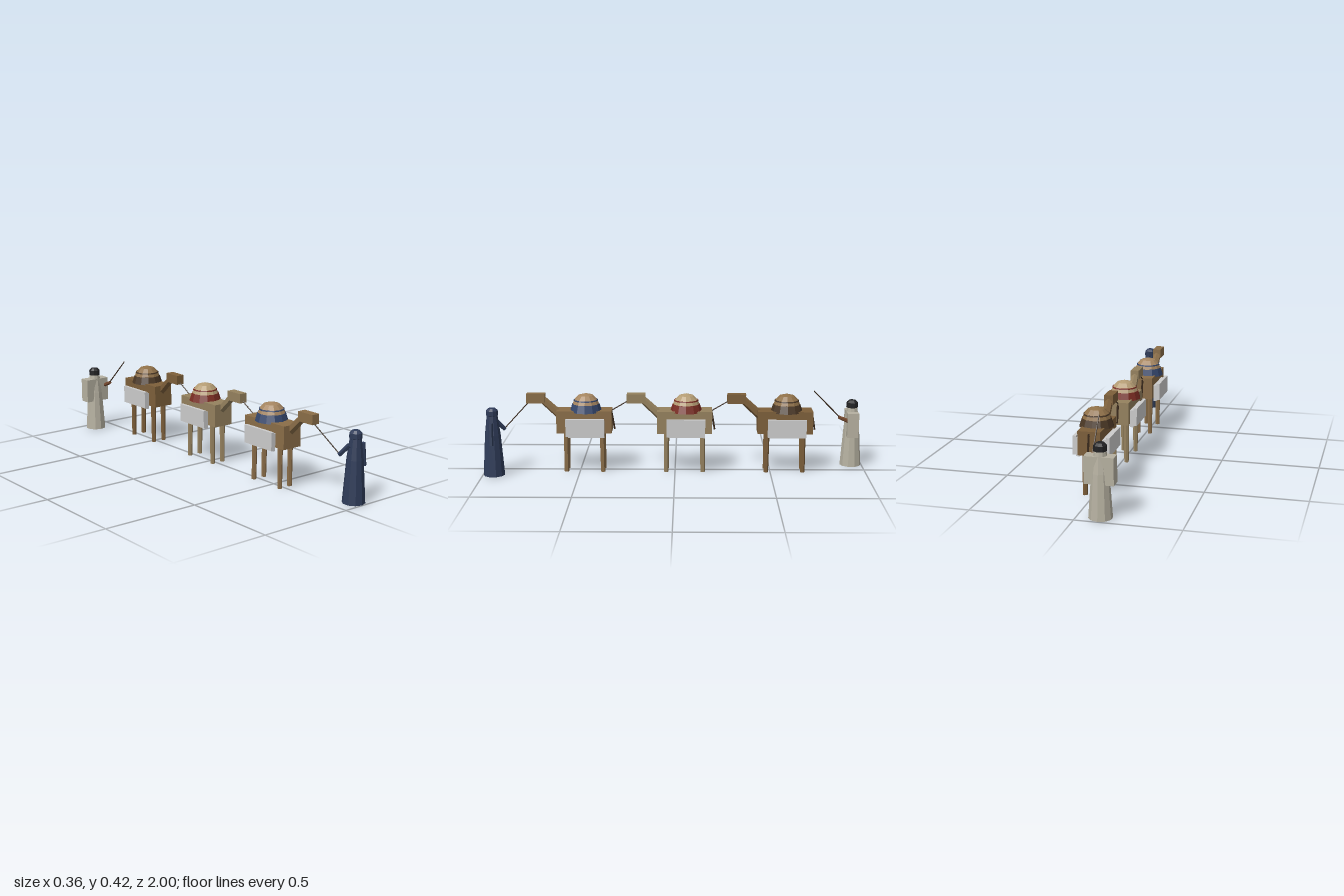
import * as THREE from 'three';

const mat = (color) => new THREE.MeshStandardMaterial({ color, flatShading: true });
const V = (x, y, z) => new THREE.Vector3(x, y, z);

function add(parent, name, geometry, material, x = 0, y = 0, z = 0) {
  const mesh = new THREE.Mesh(geometry, material);
  mesh.name = name;
  mesh.position.set(x, y, z);
  parent.add(mesh);
  return mesh;
}

const box = (parent, name, size, pos, material) =>
  add(parent, name, new THREE.BoxGeometry(...size), material, ...pos);

// profile is a list of [radius, height], bottom to top
const lathe = (parent, name, profile, sides, material, x = 0, y = 0, z = 0) =>
  add(parent, name, new THREE.LatheGeometry(profile.map((p) => new THREE.Vector2(...p)), sides), material, x, y, z);

// tapered cylinder between two points
function rod(parent, name, from, to, r0, r1, sides, material) {
  const dir = to.clone().sub(from);
  const mesh = add(parent, name, new THREE.CylinderGeometry(r1, r0, dir.length(), sides), material);
  mesh.position.copy(from).lerp(to, 0.5);
  mesh.quaternion.setFromUnitVectors(V(0, 1, 0), dir.normalize());
  return mesh;
}

const ropeMat = mat(0x3a2a1c);
const packMat = mat(0xcccccc);

function camel(coat, hump, cloth) {
  const g = new THREE.Group();
  g.name = 'camel';
  const fur = mat(coat);
  const humpMat = mat(hump);
  const clothMat = mat(cloth);

  box(g, 'body', [0.11, 0.118, 0.287], [0, 0.269, 0], fur);
  for (const sx of [-1, 1]) for (const sz of [-1, 1])
    rod(g, 'leg', V(sx * 0.033, 0, sz * 0.096), V(sx * 0.033, 0.22, sz * 0.094), 0.012, 0.014, 6, fur);

  // neck, head and tail
  rod(g, 'neck', V(0, 0.262, 0.09), V(0, 0.39, 0.228), 0.024, 0.02, 6, fur);
  box(g, 'head', [0.044, 0.049, 0.097], [0, 0.388, 0.253], fur);
  rod(g, 'tail', V(0, 0.318, -0.14), V(0, 0.222, -0.157), 0.006, 0.005, 5, ropeMat);

  // hump with a flared blanket and a thin trim ring
  lathe(g, 'hump', [[0.071, 0.32], [0.069, 0.36], [0.06, 0.382], [0.039, 0.404], [0, 0.415]], 12, humpMat, 0, 0, -0.008);
  lathe(g, 'blanket', [[0.06, 0.32], [0.084, 0.32], [0.071, 0.36], [0.06, 0.36]], 12, clothMat, 0, 0, -0.008);
  lathe(g, 'blanketTrim', [[0.055, 0.376], [0.0645, 0.376], [0.0625, 0.382], [0.055, 0.382]], 12, clothMat, 0, 0, -0.008);

  // layered packs on both flanks
  for (const s of [-1, 1]) {
    box(g, 'innerPack', [0.018, 0.09, 0.19], [s * 0.064, 0.237, -0.012], packMat);
    box(g, 'outerPack', [0.017, 0.092, 0.2], [s * 0.0815, 0.246, -0.007], packMat);
  }
  return g;
}

// robed figure standing at the local origin
function figure(name, robe, head) {
  const g = new THREE.Group();
  g.name = name;
  lathe(g, 'robe', [[0, 0], [0.056, 0], [0.041, 0.215], [0.028, 0.32], [0, 0.32]], 10, mat(robe));
  lathe(g, 'headWrap', [[0, 0.293], [0.025, 0.293], [0.028, 0.315], [0.031, 0.317], [0.031, 0.343], [0.019, 0.355], [0, 0.357]], 10, mat(head));
  return g;
}

export function createModel() {
  const model = new THREE.Group();
  model.name = 'caravan';

  // three camels in a line, joined by lead ropes
  const colors = [
    [0x8a6d48, 0xa58560, 0x33456b],
    [0x95815e, 0xb49c74, 0x7a2c22],
    [0x7d5f3a, 0x8f7048, 0x4a3725],
  ];
  colors.forEach((c, i) => {
    const z = 0.474 - i * 0.524;
    const animal = camel(...c);
    animal.position.set(0.009, 0, z);
    model.add(animal);
    if (i < 2)
      rod(model, 'leadRope', V(0.009, 0.322, z - 0.14), V(0.009, 0.372, z - 0.225), 0.003, 0.003, 5, ropeMat);
  });

  // leader in front, holding the first camel's rope
  const blue = 0x2e3b58;
  const leader = figure('leader', blue, blue);
  leader.position.set(0.109, 0, 0.942);
  model.add(leader);
  const sleeve = mat(blue);
  rod(leader, 'hangingArm', V(0.062, 0.172, 0), V(0.05, 0.286, 0), 0.012, 0.012, 6, sleeve);
  rod(leader, 'reachingArm', V(-0.03, 0.285, -0.012), V(-0.05, 0.232, -0.055), 0.013, 0.011, 6, sleeve);
  rod(model, 'guideRope', V(0.009, 0.366, 0.765), V(0.06, 0.236, 0.888), 0.003, 0.003, 5, ropeMat);

  // herder behind, with a cloak and a raised stick
  const cream = 0xb5b0a0;
  const herder = figure('herder', cream, 0x222224);
  herder.position.set(-0.11, 0, -0.941);
  model.add(herder);
  box(herder, 'cloak', [0.14, 0.13, 0.06], [0, 0.23, 0], mat(cream));
  rod(herder, 'forearm', V(0.052, 0.25, 0.02), V(0.056, 0.275, 0.078), 0.011, 0.009, 6, mat(0x75492f));
  rod(herder, 'stick', V(0.056, 0.265, 0.062), V(0.065, 0.417, 0.212), 0.0035, 0.003, 5, ropeMat);

  return model;
}
